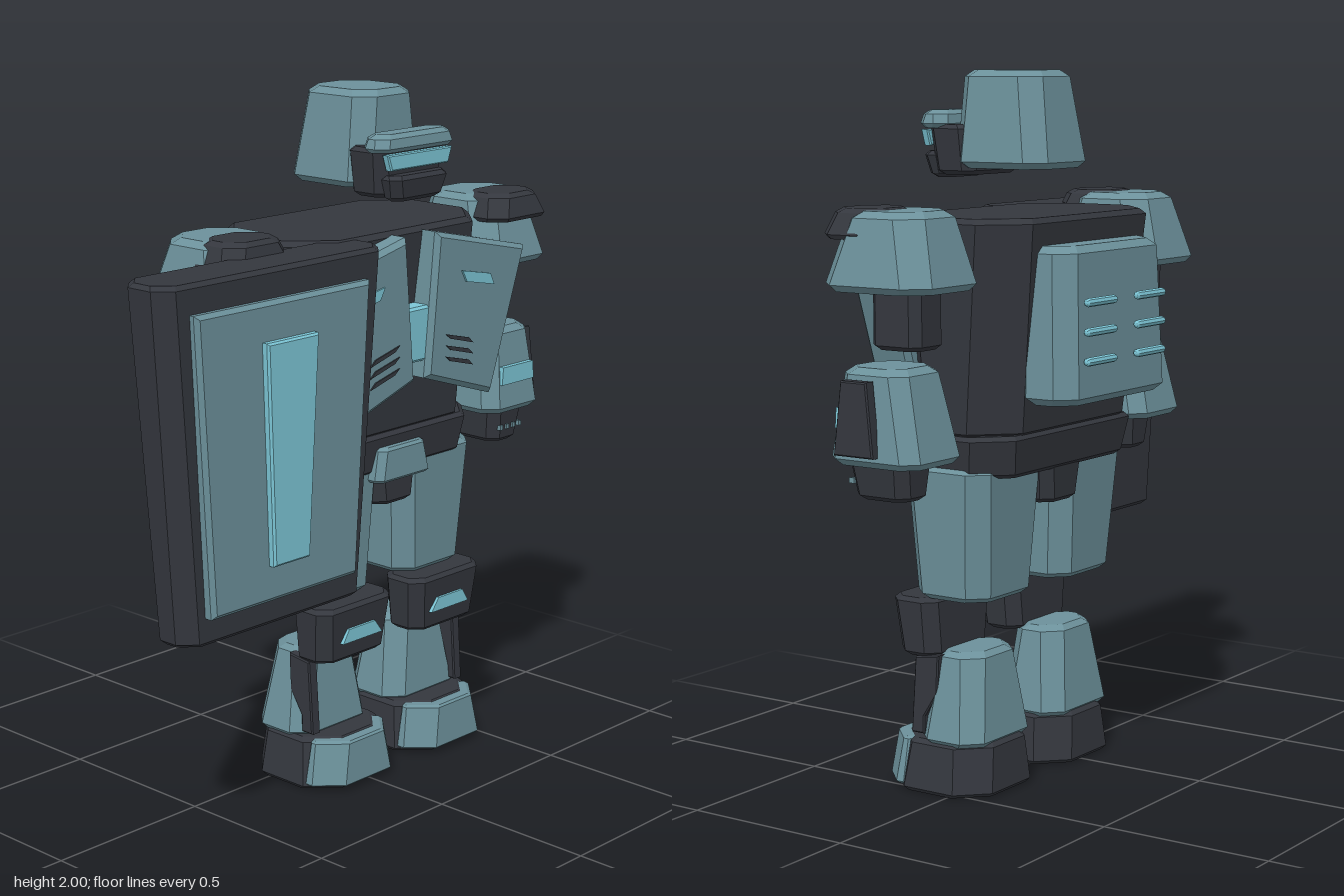
import * as THREE from 'three';

const mat = (name, color) => {
  const m = new THREE.MeshStandardMaterial({ color });
  m.name = name;
  m.flatShading = true;
  return m;
};

export function createModel() {
  const armour = mat('armour teal', 0x6c919b);
  const frame = mat('frame charcoal', 0x34373e);
  const glow = mat('glow cyan', 0x7cc6d6);

  const model = new THREE.Group();
  model.name = 'armouredRobot';
  const body = new THREE.Group();
  body.name = 'body';
  body.position.x = 0.167;
  model.add(body);

  const add = (parent, name, geometry, material) => {
    const mesh = new THREE.Mesh(geometry, material);
    mesh.name = name;
    parent.add(mesh);
    return mesh;
  };

  // Chamfered tapered block; bottom and top are [x0, x1, z0, z1]
  function block(parent, name, material, y0, y1, bottom, top, c = 0.04, b = 0.012) {
    const ring = (t, inset) => {
      const [x0, x1, z0, z1] = bottom.map((v, i) =>
        v + (top[i] - v) * t + (i % 2 ? -inset : inset));
      const y = y0 + (y1 - y0) * t;
      return [[x0 + c, z1], [x1 - c, z1], [x1, z1 - c], [x1, z0 + c],
        [x1 - c, z0], [x0 + c, z0], [x0, z0 + c], [x0, z1 - c]].map(([x, z]) => [x, y, z]);
    };
    const e = b / (y1 - y0);
    const rings = [ring(0, b), ring(e, 0), ring(1 - e, 0), ring(1, b)];
    const pos = [];
    const tri = (...p) => p.forEach((q) => pos.push(...q));
    for (let r = 0; r < 3; r++) {
      for (let i = 0; i < 8; i++) {
        const j = (i + 1) % 8, lo = rings[r], hi = rings[r + 1];
        tri(lo[i], lo[j], hi[j]);
        tri(lo[i], hi[j], hi[i]);
      }
    }
    for (let i = 1; i < 7; i++) {
      tri(rings[0][0], rings[0][i + 1], rings[0][i]);
      tri(rings[3][0], rings[3][i], rings[3][i + 1]);
    }
    const g = new THREE.BufferGeometry();
    g.setAttribute('position', new THREE.Float32BufferAttribute(pos, 3));
    g.computeVertexNormals();
    return add(parent, name, g, material);
  }

  // Flat plate from a front outline, reaching from z0 to z1
  function plate(parent, name, material, points, z0, z1, b = 0) {
    const shape = new THREE.Shape(points.map(([x, y]) => new THREE.Vector2(x, y)));
    const g = new THREE.ExtrudeGeometry(shape, {
      depth: z1 - z0 - 2 * b, bevelEnabled: b > 0, bevelThickness: b,
      bevelSize: b, bevelOffset: -b, bevelSegments: 1,
    });
    g.translate(0, 0, z0 + b);
    return add(parent, name, g, material);
  }

  // Plate from a side outline of [z, y] points, centred on x
  function sidePlate(parent, name, material, points, x, width) {
    const mesh = plate(parent, name, material, points, -width / 2, width / 2, 0.004);
    mesh.geometry.rotateY(-Math.PI / 2).translate(x, 0, 0);
    return mesh;
  }

  // Head
  const h = (w, z0, z1) => [-w, w, z0, z1];
  block(body, 'helmet', armour, 1.73, 2, h(0.145, -0.16, 0.15), h(0.115, -0.12, 0.14), 0.05, 0.018);
  block(body, 'brow', armour, 1.84, 1.89, h(0.165, 0.15, 0.25), h(0.15, 0.16, 0.24), 0.03);
  block(body, 'face', frame, 1.71, 1.85, h(0.125, 0.08, 0.215), h(0.145, 0.08, 0.225), 0.03);
  block(body, 'jaw', frame, 1.7, 1.775, h(0.1, 0.18, 0.25), h(0.122, 0.18, 0.262), 0.025);
  plate(body, 'visor', glow, [[-0.12, 1.79], [0.12, 1.79], [0.135, 1.835], [-0.135, 1.835]], 0.22, 0.245, 0.004);

  // Torso and hips
  block(body, 'torso', frame, 1.01, 1.61, h(0.36, -0.18, 0.17), h(0.395, -0.24, 0.2), 0.11, 0.015);
  block(body, 'belt', frame, 0.9, 1.02, h(0.355, -0.165, 0.165), h(0.378, -0.185, 0.18), 0.09);
  block(body, 'crotch', frame, 0.8, 0.95, h(0.08, -0.15, 0.175), h(0.1, -0.16, 0.175), 0.03);
  block(body, 'groinGuard', armour, 0.88, 0.98, h(0.117, 0.1, 0.205), h(0.095, 0.1, 0.2), 0.02, 0.008);
  plate(body, 'chestCore', glow, [[-0.05, 1.23], [0.045, 1.23], [0.065, 1.39], [-0.065, 1.39]], 0.16, 0.245, 0.008);

  // Backpack with glowing vents
  block(body, 'backpack', armour, 1.105, 1.535, h(0.265, -0.34, -0.15), h(0.25, -0.325, -0.15), 0.05, 0.02);
  for (const y of [1.225, 1.305, 1.385]) {
    for (const x of [-0.125, 0.125]) {
      const g = new THREE.CapsuleGeometry(0.012, 0.125, 3, 8);
      g.rotateZ(Math.PI / 2).translate(x, y, -0.351);
      add(body, 'backpackVent', g, glow);
    }
  }

  // Mirrored chest plates, arms and legs
  for (const s of [1, -1]) {
    const side = new THREE.Group();
    side.name = s > 0 ? 'leftSide' : 'rightSide';
    body.add(side);
    const mx = ([x0, x1, z0, z1]) => (s > 0 ? [x0, x1, z0, z1] : [-x1, -x0, z0, z1]);
    const B = (name, m, y0, y1, lo, hi, c, b) => block(side, name, m, y0, y1, mx(lo), mx(hi), c, b);
    const P = (name, m, pts, z0, z1, b) => plate(side, name, m, pts.map(([x, y]) => [x * s, y]), z0, z1, b);

    // Chest
    P('chestPlate', armour, [[0.063, 1.6], [0.46, 1.51], [0.315, 1.085], [0.022, 1.18]], 0.12, 0.26, 0.015);
    P('chestLight', glow, [[0.165, 1.475], [0.29, 1.45], [0.308, 1.415], [0.185, 1.44]], 0.258, 0.266);
    for (let i = 0; i < 3; i++) {
      const y = 1.295 - i * 0.033;
      P('chestVent', frame, [[0.1, y + 0.003], [0.2, y - 0.022], [0.22, y - 0.04], [0.12, y - 0.013]], 0.258, 0.264);
    }

    // Arm
    B('shoulder', armour, 1.43, 1.64, [0.39, 0.71, -0.18, 0.18], [0.42, 0.665, -0.12, 0.12], 0.06, 0.018);
    B('shoulderCap', frame, 1.565, 1.645, [0.415, 0.685, -0.005, 0.19], [0.45, 0.65, 0.01, 0.165], 0.045);
    B('upperArm', frame, 1.27, 1.47, [0.45, 0.585, -0.075, 0.085], [0.45, 0.585, -0.075, 0.085], 0.025);
    B('forearm', armour, 0.97, 1.23, [0.43, 0.685, -0.135, 0.165], [0.455, 0.66, -0.075, 0.13], 0.04, 0.018);
    P('forearmLight', glow, [[0.482, 1.06], [0.633, 1.06], [0.628, 1.115], [0.487, 1.115]], 0.12, 0.161);
    sidePlate(side, 'forearmGuard', frame, [[0.085, 1.2], [0, 1.2], [-0.02, 1.0], [0.11, 1.0]], s * 0.687, 0.036);
    B('hand', frame, 0.87, 0.99, [0.488, 0.61, -0.05, 0.125], [0.475, 0.63, -0.06, 0.14], 0.03);
    for (let i = 0; i < 4; i++) {
      const x = 0.507 + i * 0.029;
      P('knuckle', armour, [[x, 0.91], [x + 0.012, 0.91], [x + 0.012, 0.925], [x, 0.925]], 0.12, 0.137);
    }

    // Leg
    B('thigh', armour, 0.55, 0.93, [0.06, 0.34, -0.1, 0.145], [0.037, 0.372, -0.125, 0.16], 0.05, 0.015);
    B('knee', frame, 0.38, 0.55, [0.063, 0.335, 0.06, 0.195], [0.043, 0.352, 0.06, 0.212], 0.035);
    P('kneeLight', glow, [[0.11, 0.44], [0.275, 0.44], [0.25, 0.48], [0.14, 0.48]], 0.19, 0.213);
    B('shin', armour, 0.14, 0.4, [0.043, 0.358, -0.09, 0.125], [0.083, 0.31, -0.06, 0.1], 0.05, 0.015);
    sidePlate(side, 'shinFin', frame,
      [[0.13, 0.38], [0.05, 0.39], [0.055, 0.28], [0.1, 0.21], [0.1, 0.16], [0.145, 0.16]], s * 0.315, 0.035);
    B('foot', frame, 0, 0.15, [0.025, 0.373, -0.105, 0.225], [0.043, 0.352, -0.095, 0.205], 0.08);
    B('toeCap', armour, 0.015, 0.146, [0.032, 0.366, 0.08, 0.245], [0.055, 0.34, 0.08, 0.235], 0.07, 0.006);
  }

  // Shield carried on the right arm
  const shield = new THREE.Group();
  shield.name = 'shield';
  model.add(shield);
  block(shield, 'shieldBody', frame, 0.62, 1.605, [-0.8, -0.105, 0.15, 0.3], [-0.878, -0.03, 0.135, 0.31], 0.045, 0.012);
  plate(shield, 'shieldPanel', armour, [[-0.785, 1.525], [-0.13, 1.525], [-0.18, 0.7], [-0.735, 0.7]], 0.28, 0.335, 0.012);
  plate(shield, 'shieldLight', glow, [[-0.552, 1.42], [-0.357, 1.42], [-0.392, 0.805], [-0.53, 0.805]], 0.33, 0.358, 0.006);

  return model;
}
